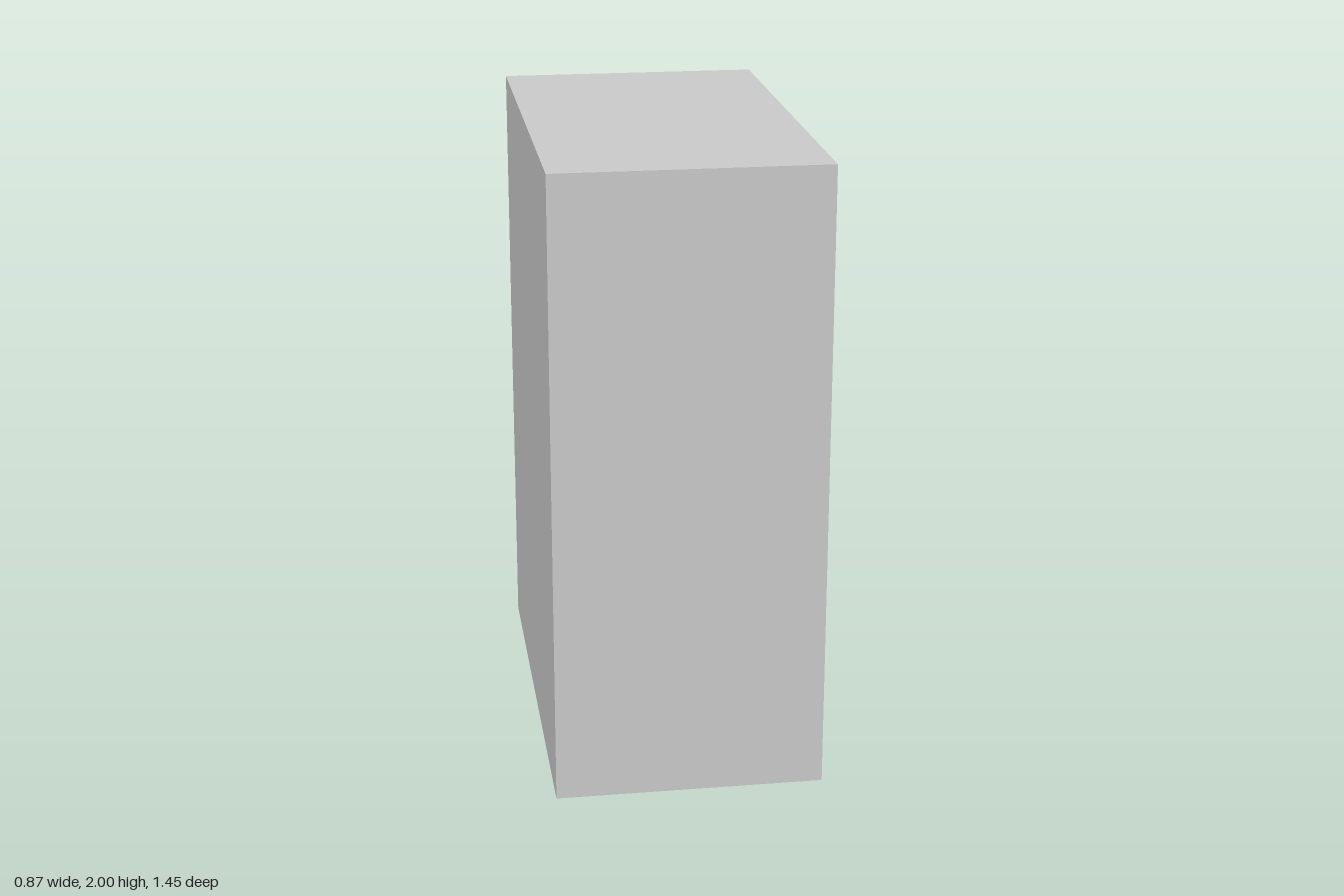
import * as THREE from 'three';

const mat = (color) => new THREE.MeshStandardMaterial({ color });
const FACE = 0.409; // door surface height, measured along the panel's outward axis
const BACK = -0.438;
const GROOVE = 0.02;

// Closed outline helper
const poly = (pts, Type = THREE.Shape) => new Type(pts.map(([x, y]) => new THREE.Vector2(x, y)));
const rectPts = (x0, y0, x1, y1) => [[x0, y0], [x1, y0], [x1, y1], [x0, y1]];

export function createModel() {
  const root = new THREE.Group();
  root.name = 'electricalCabinet';
  // Panel space: x across the door, y up, z outward; turned so the door faces +x
  const cabinet = new THREE.Group();
  cabinet.name = 'cabinet';
  cabinet.rotation.y = Math.PI / 2;
  root.add(cabinet);

  const grey = mat(0xcccccc), black = mat(0x0c0c0c), dark = mat(0x3c3c3c);
  const glass = mat(0xe6e6e6), red = mat(0xfa5a66), yellow = mat(0xfff010);

  const add = (name, geometry, material, x = 0, y = 0, z = 0) => {
    const mesh = new THREE.Mesh(geometry, material);
    mesh.name = name;
    mesh.position.set(x, y, z);
    cabinet.add(mesh);
    return mesh;
  };
  // Flat plate from a shape, between two heights
  const plate = (name, shape, z0, z1, material, x = 0, y = 0) =>
    add(name, new THREE.ExtrudeGeometry(shape, { depth: z1 - z0, bevelEnabled: false, curveSegments: 10 }),
      material, x, y, z0);
  // Round button facing outward
  const disc = (name, x, y, r, top, material) => {
    const g = new THREE.CylinderGeometry(r, r, top - FACE, 32).rotateX(Math.PI / 2);
    add(name, g, material, x, y, (FACE + top) / 2);
  };

  // Housing with a groove around the door
  const floor = FACE - GROOVE;
  add('housing', new THREE.BoxGeometry(1.454, 2, floor - BACK), grey, 0, 1, (floor + BACK) / 2);
  const rim = poly(rectPts(-0.727, 0, 0.727, 2));
  rim.holes.push(poly(rectPts(-0.648, 0.117, 0.643, 1.891), THREE.Path));
  plate('doorFrame', rim, floor, FACE, grey);
  plate('door', poly(rectPts(-0.626, 0.146, 0.621, 1.862)), floor, FACE, grey);

  // Indicator lamps above framed meters
  const h = 0.118, i = 0.103;
  const bezel = poly(rectPts(-h, -h, h, h));
  bezel.holes.push(poly(rectPts(-i, -i, i, i), THREE.Path));
  [[-0.419, 'orange', 0xff6a10], [0.013, 'yellow', 0xf5e010], [0.429, 'green', 0x10f520]].forEach(([x, label, color]) => {
    disc(label + 'Lamp', x, 1.663, 0.048, 0.419, mat(color));
    plate('meterBezel', bezel, FACE, 0.431, dark, x, 1.362);
    add('meterScreen', new THREE.BoxGeometry(2 * i, 2 * i, 0.015), glass, x, 1.362, FACE + 0.0075);
  });

  // Lock
  disc('lock', -0.461, 0.912, 0.049, 0.416, black);

  // Red warning plate with rounded corners
  const w = 0.188, t = 0.354, rx = 0.055, ry = 0.07;
  const card = new THREE.Shape();
  card.moveTo(-w + rx, -t);
  card.lineTo(w - rx, -t);
  card.quadraticCurveTo(w, -t, w, -t + ry);
  card.lineTo(w, t - ry);
  card.quadraticCurveTo(w, t, w - rx, t);
  card.lineTo(-w + rx, t);
  card.quadraticCurveTo(-w, t, -w, t - ry);
  card.lineTo(-w, -t + ry);
  card.quadraticCurveTo(-w, -t, -w + rx, -t);
  plate('warningPlate', card, FACE, 0.418, red, 0.002, 0.622);

  // Yellow triangle, black border and lightning bolt
  const outer = [[-0.141, 0.488], [0.147, 0.488], [0.003, 0.771]];
  const inner = [[-0.122, 0.499], [0.128, 0.499], [0.003, 0.746]];
  plate('warningTriangle', poly(outer), 0.418, 0.429, yellow);
  const border = poly(outer);
  border.holes.push(poly(inner, THREE.Path));
  plate('triangleBorder', border, 0.429, 0.4305, black);
  const bolt = poly([
    [-0.011, 0.536], [-0.016, 0.570], [-0.008, 0.564], [0.002, 0.592], [-0.016, 0.588],
    [0.000, 0.647], [0.025, 0.645], [0.010, 0.612], [0.025, 0.614], [0.003, 0.566], [0.010, 0.566],
  ]);
  plate('lightningBolt', bolt, 0.429, 0.435, black);

  return root;
}
